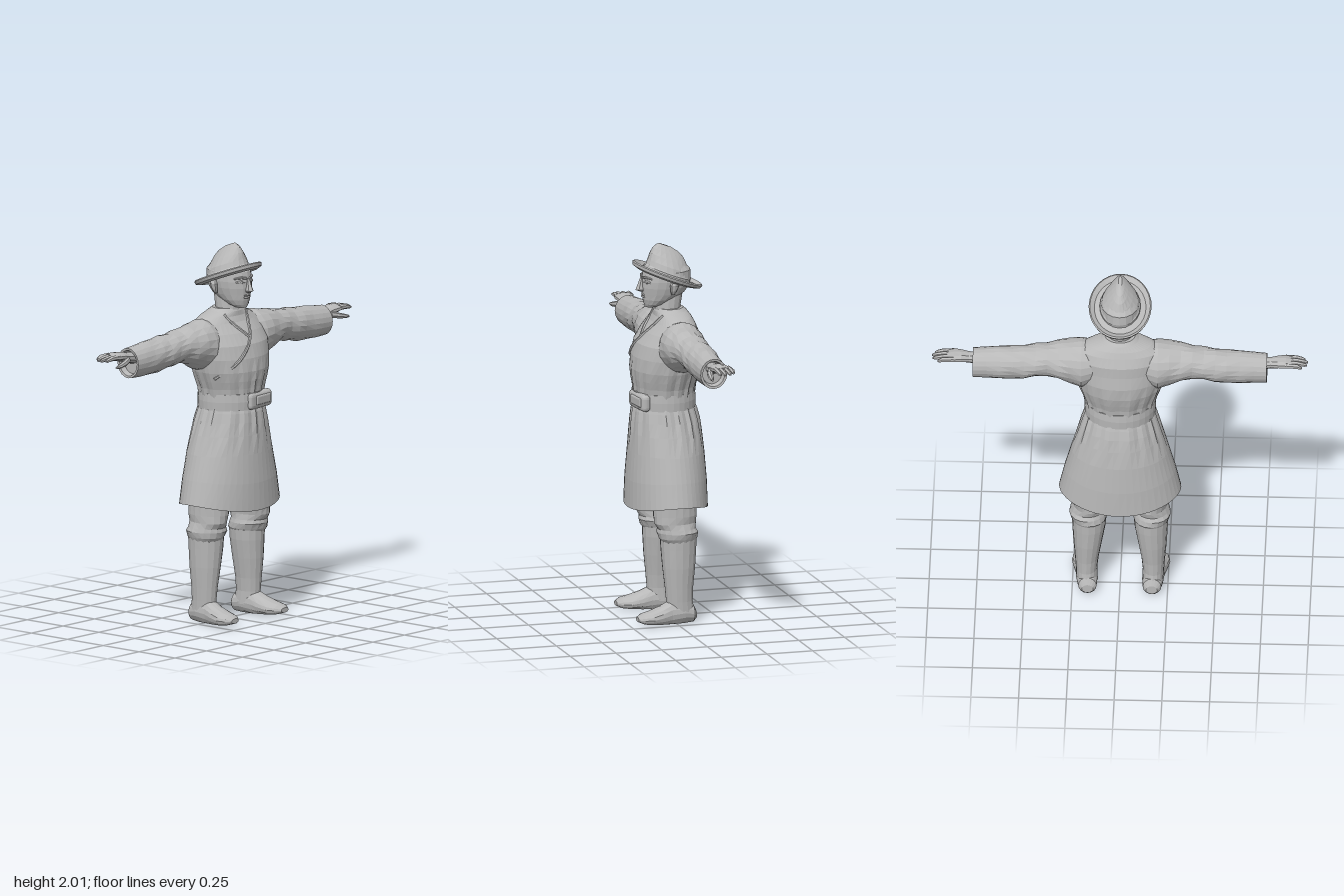
import * as THREE from 'three';
import { RoundedBoxGeometry } from 'three/addons/geometries/RoundedBoxGeometry.js';

const grey = new THREE.MeshStandardMaterial({ color: 0xb8b8b8 });
grey.name = 'plain grey';

// Faceted normals
function flat(geo) {
  const g = geo.index ? geo.toNonIndexed() : geo;
  g.computeVertexNormals();
  return g;
}

// Skin over elliptical rings along an axis. Ring: [position, c1, c2, r1, r2],
// where (1, 2) is (x, z) for axis y, (z, y) for axis x and (y, x) for axis z.
function loft(axis, rings, sides, { fold = () => 1, warp = () => {} } = {}) {
  const order = { y: ['x', 'y', 'z'], x: ['z', 'x', 'y'], z: ['y', 'z', 'x'] }[axis];
  const pos = [], index = [];
  const add = (p, a, b) => {
    const v = new THREE.Vector3();
    v[order[0]] = a; v[order[1]] = p; v[order[2]] = b;
    warp(v);
    pos.push(v.x, v.y, v.z);
  };
  for (const [p, c1, c2, r1, r2] of rings) {
    for (let j = 0; j < sides; j++) {
      const t = j / sides * Math.PI * 2, f = fold(p, t);
      add(p, c1 + Math.sin(t) * r1 * f, c2 + Math.cos(t) * r2 * f);
    }
  }
  const n = rings.length, first = n * sides, last = first + 1;
  for (const r of [rings[0], rings[n - 1]]) add(r[0], r[1], r[2]);
  for (let j = 0; j < sides; j++) {
    const k = (j + 1) % sides, e = (n - 1) * sides;
    for (let i = 0; i < n - 1; i++) {
      const a = i * sides + j, b = i * sides + k;
      index.push(a, b, b + sides, a, b + sides, a + sides);
    }
    index.push(first, k, j, last, e + j, e + k);
  }
  const g = new THREE.BufferGeometry();
  g.setAttribute('position', new THREE.Float32BufferAttribute(pos, 3));
  g.setIndex(index);
  return flat(g);
}

// Reflects a geometry in x and restores its winding
function mirrored(geo) {
  const g = geo.clone(), p = g.attributes.position;
  for (let i = 0; i < p.count; i += 3) {
    const t = [0, 2, 1].map(k => new THREE.Vector3().fromBufferAttribute(geo.attributes.position, i + k));
    t.forEach((v, k) => p.setXYZ(i + k, -v.x, v.y, v.z));
  }
  g.computeVertexNormals();
  return g;
}

const clamp = THREE.MathUtils.clamp;

const torsoRings = [
  [1.18, 0, .01, .178, .155], [1.25, 0, .01, .192, .163], [1.29, 0, .008, .207, .172],
  [1.34, 0, .005, .225, .18], [1.41, 0, 0, .24, .178], [1.48, 0, -.005, .247, .163],
  [1.54, 0, -.023, .242, .142], [1.59, 0, -.033, .222, .11], [1.62, 0, -.033, .17, .095],
  [1.645, 0, -.025, .1, .085], [1.66, 0, -.02, .08, .072]];

// Point on the front of the chest
function chest(x, y) {
  let i = 0;
  while (i < torsoRings.length - 2 && torsoRings[i + 1][0] < y) i++;
  const a = torsoRings[i], b = torsoRings[i + 1], t = (y - a[0]) / (b[0] - a[0]);
  const [cz, rx, rz] = [2, 3, 4].map(k => a[k] + (b[k] - a[k]) * t);
  return new THREE.Vector3(x, y, cz + rz * Math.sqrt(Math.max(0, 1 - (x / rx) ** 2)));
}

export function createModel() {
  const model = new THREE.Group();
  const put = (name, geo, parent = model) => {
    const m = new THREE.Mesh(geo, grey);
    m.name = name;
    parent.add(m);
    return m;
  };
  const pair = (name, geo) => {
    put('left ' + name, geo);
    put('right ' + name, mirrored(geo));
  };

  // Robe top, gathered at the waist
  const gather = (t) => Math.cos(15 * t + 1.5 * Math.sin(3 * t));
  put('robe top', loft('y', torsoRings, 48, {
    fold: (y, t) => 1 + .028 * gather(t) * clamp((1.42 - y) / .15, 0, 1) }));

  // Skirt: down the inside, round the hem and up the outside
  put('robe skirt', loft('y', [
    [1.08, 0, .01, .17, .15], [.9, 0, 0, .235, .18], [.645, 0, 0, .308, .198],
    [.645, 0, 0, .32, .21], [.77, 0, 0, .292, .207], [.9, 0, 0, .257, .197],
    [1.0, 0, .003, .226, .187], [1.07, 0, .006, .204, .178], [1.12, 0, .01, .189, .168],
    [1.16, 0, .012, .176, .155]], 48, {
    fold: (y, t) => 1 + .032 * gather(t) * clamp((y - .93) / .13, 0, 1),
    warp: v => { v.y -= .045 * (v.z / .21) ** 2 * clamp((.9 - v.y) / .255, 0, 1); } }));

  // Belt and buckle
  put('belt', loft('y', [[1.135, 0, .012, .165, .145], [1.135, 0, .012, .186, .166],
    [1.18, 0, .012, .188, .168], [1.222, 0, .012, .186, .164], [1.222, 0, .012, .165, .145]], 32));
  const buckle = put('buckle', flat(new RoundedBoxGeometry(.2, .09, .05, 2, .022)));
  buckle.position.set(.05, 1.178, .157);
  buckle.rotation.y = .1;
  const flap = put('buckle flap', flat(new RoundedBoxGeometry(.13, .05, .02, 2, .009)));
  flap.position.set(.065, 1.18, .178);
  flap.rotation.y = .12;

  // Crossed collar edges
  const edge = (name, pts) => put(name, flat(new THREE.TubeGeometry(
    new THREE.CatmullRomCurve3(pts.map(p => chest(...p))), 24, .009, 6)));
  edge('overlap edge', [[.085, 1.635], [.055, 1.58], [.01, 1.515], [-.05, 1.455], [-.12, 1.39], [-.2, 1.31]]);
  edge('inner collar edge', [[-.085, 1.635], [-.062, 1.59], [-.035, 1.555], [.005, 1.515]]);

  // Sleeves with twisting creases
  pair('sleeve', loft('x', [
    [.1, -.03, 1.5, .1, .1], [.2, -.028, 1.482, .125, .135], [.26, -.025, 1.487, .115, .122],
    [.32, -.025, 1.495, .105, .1], [.38, -.03, 1.5, .093, .086], [.44, -.033, 1.492, .09, .085],
    [.5, -.035, 1.485, .088, .087], [.56, -.035, 1.478, .085, .09], [.63, -.033, 1.474, .08, .088],
    [.7, -.03, 1.47, .075, .085], [.77, -.03, 1.468, .073, .08], [.768, -.03, 1.468, .06, .068],
    [.735, -.03, 1.468, .055, .06]], 20, {
    fold: (x, t) => 1 + .045 * Math.sin(3 * t + 42 * x) * clamp((.74 - x) / .2, 0, 1) * clamp((x - .18) / .1, 0, 1) }));

  // Hands
  pair('palm', loft('x', [[.72, -.03, 1.49, .035, .033], [.79, -.03, 1.502, .034, .027],
    [.83, -.035, 1.512, .046, .026], [.87, -.037, 1.517, .052, .022], [.905, -.038, 1.517, .046, .014]], 10));
  [[.955, -.078], [.98, -.053], [.985, -.027], [.97, -.003]].forEach(([tip, z], i) =>
    pair('finger ' + (i + 1), loft('x', [[.87, z, 1.52, .013, .014], [.93, z - .002, 1.518, .0135, .013],
      [tip - .012, z - .004, 1.512, .011, .01], [tip, z - .004, 1.51, .005, .005]], 6)));
  pair('thumb', loft('x', [[.8, -.005, 1.495, .02, .02], [.845, .014, 1.485, .017, .016],
    [.89, .02, 1.476, .014, .012], [.92, .022, 1.472, .006, .006]], 7));

  // Neck and head
  put('neck', loft('y', [[1.6, 0, -.015, .075, .075], [1.66, 0, -.01, .066, .068],
    [1.76, 0, -.02, .066, .075]], 14));
  put('head', loft('y', [[1.668, 0, .082, .028, .03], [1.685, 0, .06, .052, .058], [1.71, 0, .037, .07, .088],
    [1.74, 0, .015, .083, .114], [1.775, 0, .004, .094, .129], [1.81, 0, -.002, .1, .134],
    [1.86, 0, -.005, .1, .128], [1.92, 0, 0, .06, .08]], 18));
  put('nose', loft('y', [[1.752, 0, .13, .014, .012], [1.762, 0, .137, .021, .028],
    [1.785, 0, .133, .015, .022], [1.825, 0, .126, .009, .014]], 6));
  put('lips', loft('y', [[1.716, 0, .112, .015, .01], [1.724, 0, .117, .028, .016],
    [1.73, 0, .118, .022, .01], [1.737, 0, .119, .027, .015], [1.745, 0, .116, .014, .01]], 10));
  pair('ear', loft('y', [[1.745, .094, -.012, .006, .01], [1.765, .1, -.014, .011, .017],
    [1.795, .105, -.018, .013, .025], [1.815, .102, -.018, .008, .015]], 8));
  pair('eyelid', loft('x', [[.02, .124, 1.806, .005, .005], [.042, .118, 1.81, .009, .01],
    [.066, .1, 1.807, .006, .005]], 8));
  pair('eyebrow', loft('x', [[.012, .131, 1.828, .005, .006], [.042, .121, 1.834, .008, .007],
    [.075, .094, 1.828, .006, .004]], 6));

  // Tilted hat: curled oval brim and a pinched crown
  const hat = new THREE.Group();
  hat.name = 'hat';
  hat.position.set(0, 1.827, -.005);
  hat.rotation.x = -.37;
  model.add(hat);
  const profile = [[.58, -.004], [.82, -.012], [.97, -.002], [1, .014], [.96, .02], [.82, .004], [.58, .012]];
  put('brim', flat(new THREE.LatheGeometry(profile.map(p => new THREE.Vector2(...p)), 32)
    .scale(.165, 1, .199)), hat);
  put('crown', loft('y', [[-.005, 0, 0, .108, .132], [.022, 0, .002, .107, .13], [.028, 0, .003, .102, .125],
    [.055, 0, .01, .094, .118], [.09, 0, .024, .068, .107], [.12, 0, .037, .042, .09],
    [.14, 0, .05, .023, .066], [.151, 0, .068, .01, .035]], 20), hat);

  // Trousers bunched over the boots
  pair('trouser leg', loft('y', [[.43, .165, -.02, .078, .088], [.46, .165, -.018, .096, .102],
    [.49, .167, -.012, .1, .108], [.51, .167, -.008, .09, .104], [.54, .165, -.002, .086, .113],
    [.58, .165, 0, .088, .115], [.66, .16, 0, .092, .115], [.85, .125, 0, .11, .12]], 18, {
    fold: (y, t) => 1 + .035 * Math.sin(2 * t + 70 * y) * clamp((.64 - y) / .1, 0, 1) }));

  // Boots
  pair('boot shaft', loft('y', [[.05, .172, -.03, .056, .076], [.12, .175, -.022, .056, .072],
    [.19, .174, -.02, .062, .076], [.3, .169, -.02, .076, .088], [.4, .163, -.02, .087, .095],
    [.455, .162, -.02, .091, .097], [.458, .162, -.02, .08, .088]], 16));
  pair('boot foot', loft('z', [[-.112, .04, .168, .025, .03], [-.095, .05, .169, .05, .048],
    [-.04, .06, .173, .065, .056], [.03, .055, .178, .07, .056], [.08, .045, .185, .054, .062],
    [.14, .037, .192, .04, .066], [.185, .037, .195, .03, .054], [.213, .037, .197, .013, .028]], 16, {
    warp: v => { v.y = Math.max(v.y, v.z > .03 ? .1 * (v.z - .03) : 0); } }));

  return model;
}
